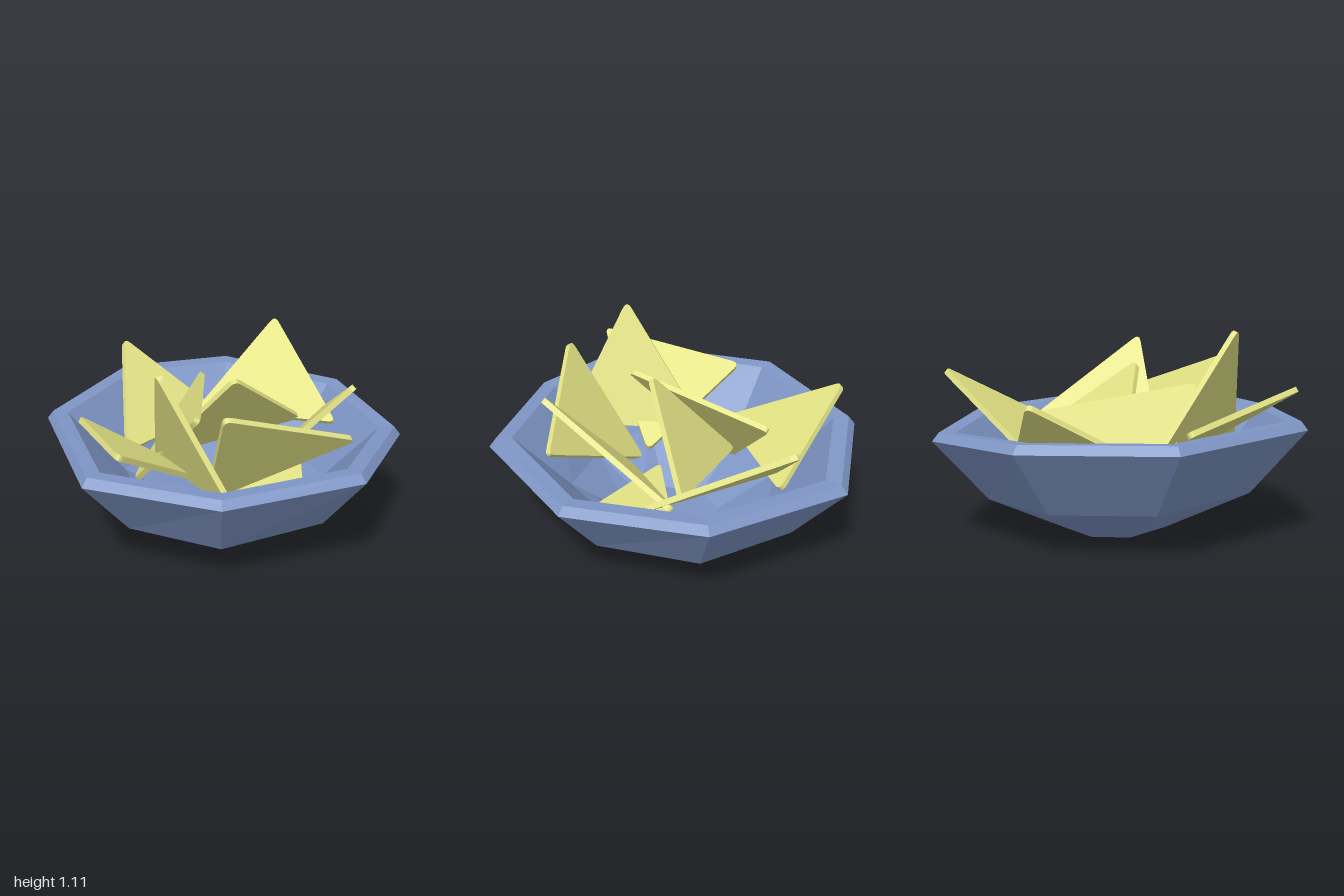
import * as THREE from 'three';

const V = (p) => new THREE.Vector3(...p);

// Skin a closed surface through a sequence of equally sized rings
function loft(rings) {
  const pos = [];
  const tri = new THREE.Triangle();
  const add = (...pts) => {
    tri.set(...pts);
    if (tri.getArea() > 1e-7) pts.forEach((p) => pos.push(p.x, p.y, p.z));
  };
  for (let r = 0; r < rings.length - 1; r++) {
    const a = rings[r], b = rings[r + 1], n = a.length;
    for (let i = 0; i < n; i++) {
      const j = (i + 1) % n;
      add(a[j], a[i], b[i]);
      add(a[j], b[i], b[j]);
    }
  }
  const g = new THREE.BufferGeometry();
  g.setAttribute('position', new THREE.Float32BufferAttribute(pos, 3));
  g.computeVertexNormals();
  return g;
}

// Thin triangular slab with rounded corners, spanning three points in space
function slab(a, b, c, radius = 0.035, depth = 0.03) {
  const ex = b.clone().sub(a).normalize();
  const ez = ex.clone().cross(c.clone().sub(a)).normalize();
  const ey = ez.clone().cross(ex);
  const mid = a.clone().add(b).add(c).divideScalar(3);
  const flat = [a, b, c].map((p) => {
    const d = p.clone().sub(mid);
    return new THREE.Vector2(d.dot(ex), d.dot(ey)).multiplyScalar(1.055);
  });
  const shape = new THREE.Shape();
  flat.forEach((p, i) => {
    const toward = (q) => p.clone().add(q.clone().sub(p).setLength(radius * 1.5));
    const s = toward(flat[(i + 2) % 3]), e = toward(flat[(i + 1) % 3]);
    if (i === 0) shape.moveTo(s.x, s.y);
    else shape.lineTo(s.x, s.y);
    shape.quadraticCurveTo(p.x, p.y, e.x, e.y);
  });
  shape.closePath();
  const g = new THREE.ExtrudeGeometry(shape, { depth, bevelEnabled: false, curveSegments: 5 });
  g.translate(0, 0, -depth / 2);
  g.applyMatrix4(new THREE.Matrix4().makeBasis(ex, ey, ez).setPosition(mid));
  return g;
}

export function createModel() {
  const model = new THREE.Group();
  const blue = new THREE.MeshStandardMaterial({ color: 0x7f96c6, flatShading: true });
  const yellow = new THREE.MeshStandardMaterial({ color: 0xe4e486, flatShading: true });

  // Bowl: irregular eight-sided rings, from the base up the outside and down the inside
  const rim = [
    [0.08, 0.59, -1], [0.73, 0.555, -0.78], [0.995, 0.555, -0.03], [0.73, 0.56, 0.67],
    [0.09, 0.61, 1], [-0.6, 0.585, 0.71], [-1, 0.615, 0.13], [-0.66, 0.6, -0.7],
  ].map(V);
  const waist = [
    [0.06, 0.23, -0.72], [0.54, 0.215, -0.55], [0.75, 0.22, -0.03], [0.54, 0.235, 0.48],
    [0.08, 0.27, 0.73], [-0.43, 0.215, 0.51], [-0.7, 0.255, 0.09], [-0.45, 0.24, -0.52],
  ].map(V);
  const scaled = (ring, s, dy) =>
    ring.map((p) => new THREE.Vector3(p.x * s, p.y + dy, p.z * s));
  const level = (s, y, tilt) =>
    waist.map((p) => new THREE.Vector3(p.x * s + 0.04, y + tilt * p.z * s, p.z * s));
  const bowl = new THREE.Mesh(loft([
    level(0, 0.015, 0),
    level(0.385, 0.015, 0.055),
    waist,
    rim,
    scaled(rim, 0.965, 0.045),
    scaled(rim, 0.88, 0.04),
    scaled(waist, 0.79, 0.05),
    level(0.34, 0.09, 0.03),
    level(0, 0.09, 0),
  ]), blue);
  bowl.name = 'bowl';
  model.add(bowl);

  // Chips: the three corners of each
  const chips = new THREE.Group();
  chips.name = 'chips';
  const corners = {
    backChip: [[0.04, 0.81, -0.92], [-0.36, 0.43, -0.37], [0.39, 0.4, -0.52]],
    rightSideChip: [[-0.88, 0.8, 0.28], [-0.6, 0.655, -0.46], [-0.19, 0.37, 0.12]],
    tallChip: [[-0.56, 1.1, 0.19], [-0.275, 0.43, -0.2], [-0.4, 0.47, 0.55]],
    innerChip: [[0, 0.9, 0.12], [0.56, 0.5, 0.04], [-0.15, 0.35, -0.35]],
    leftSideChip: [[0.86, 0.88, -0.47], [0.29, 0.45, -0.5], [0.65, 0.51, 0.24]],
    frontChip: [[-0.42, 0.94, 0.53], [0.31, 0.67, 0.69], [-0.22, 0.3, 0.17]],
    centreChip: [[-0.32, 0.79, 0.19], [0.26, 0.69, -0.46], [-0.33, 0.2, -0.38]],
    frontLeftChip: [[0.29, 0.97, 0.7], [0.69, 0.52, 0.11], [-0.09, 0.33, 0.24]],
    bottomChip: [[-0.16, 0.25, 0.06], [0.54, 0.29, 0.08], [0.2, 0.24, 0.46]],
  };
  for (const [name, points] of Object.entries(corners)) {
    const chip = new THREE.Mesh(slab(...points.map(V)), yellow);
    chip.name = name;
    chips.add(chip);
  }
  model.add(chips);
  return model;
}
